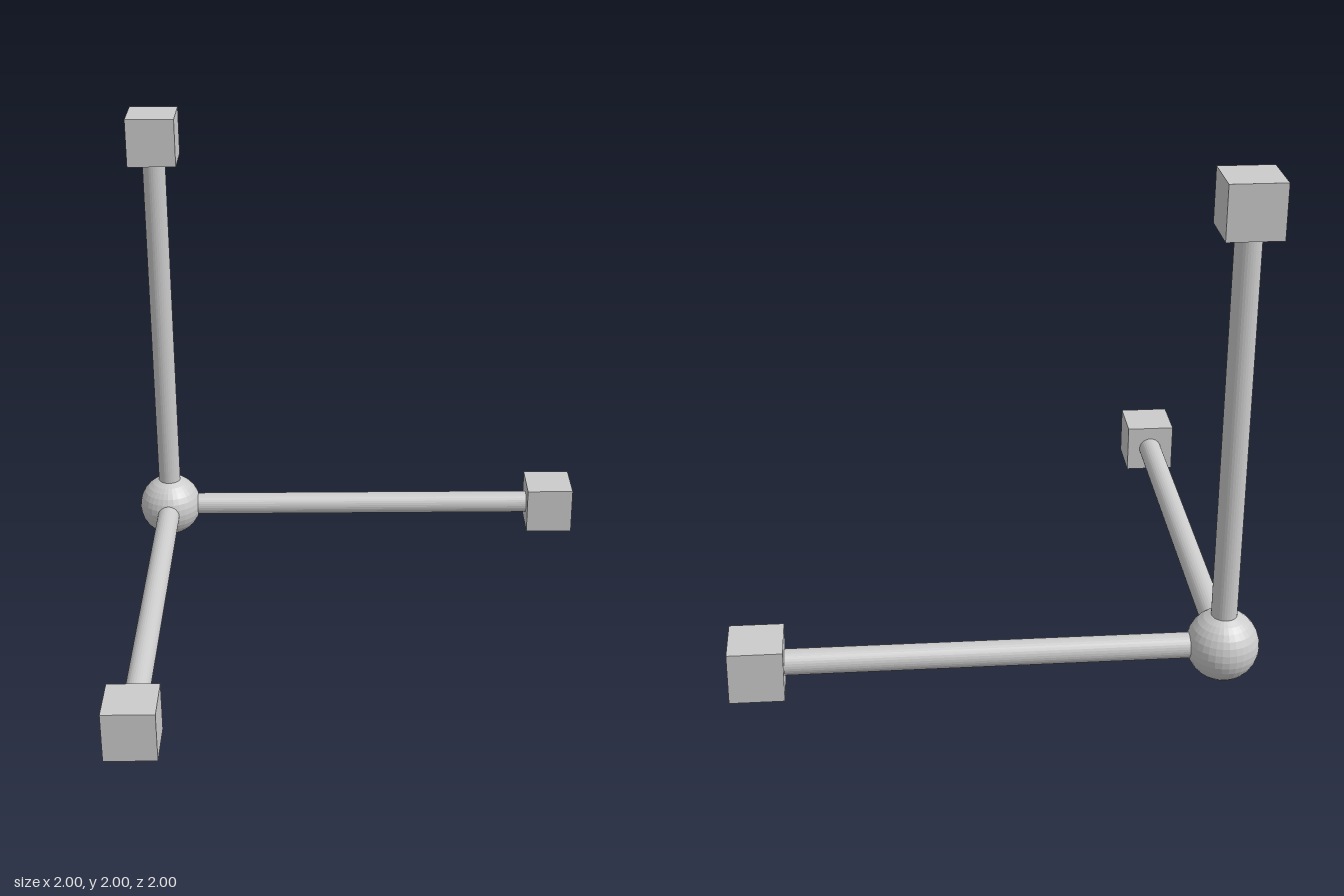
import * as THREE from 'three';

export function createModel() {
  const model = new THREE.Group();
  const material = new THREE.MeshStandardMaterial({ color: 0xcccccc, flatShading: true });

  const ballRadius = 0.139;
  const cubeSize = 0.206;
  const reach = 1.758; // ball centre to cube centre
  const origin = new THREE.Vector3(-0.861, ballRadius, -0.861);

  // Ball at the common corner
  const ball = new THREE.Mesh(new THREE.SphereGeometry(ballRadius, 32, 16), material);
  ball.name = 'cornerBall';
  ball.position.copy(origin);
  model.add(ball);

  // Three perpendicular arms, each a round rod ending in a cube
  const rodGeometry = new THREE.CylinderGeometry(0.049, 0.049, reach, 32);
  const cubeGeometry = new THREE.BoxGeometry(cubeSize, cubeSize, cubeSize);
  const arms = [
    ['xArm', [0, 0, -Math.PI / 2]],
    ['yArm', [0, 0, 0]],
    ['zArm', [Math.PI / 2, 0, 0]],
  ];
  for (const [name, rotation] of arms) {
    const arm = new THREE.Group();
    arm.name = name;

    const rod = new THREE.Mesh(rodGeometry, material);
    rod.name = 'rod';
    rod.position.y = reach / 2;

    const cube = new THREE.Mesh(cubeGeometry, material);
    cube.name = 'endCube';
    cube.position.y = reach;

    arm.add(rod, cube);
    arm.position.copy(origin);
    arm.rotation.set(...rotation);
    model.add(arm);
  }

  return model;
}
